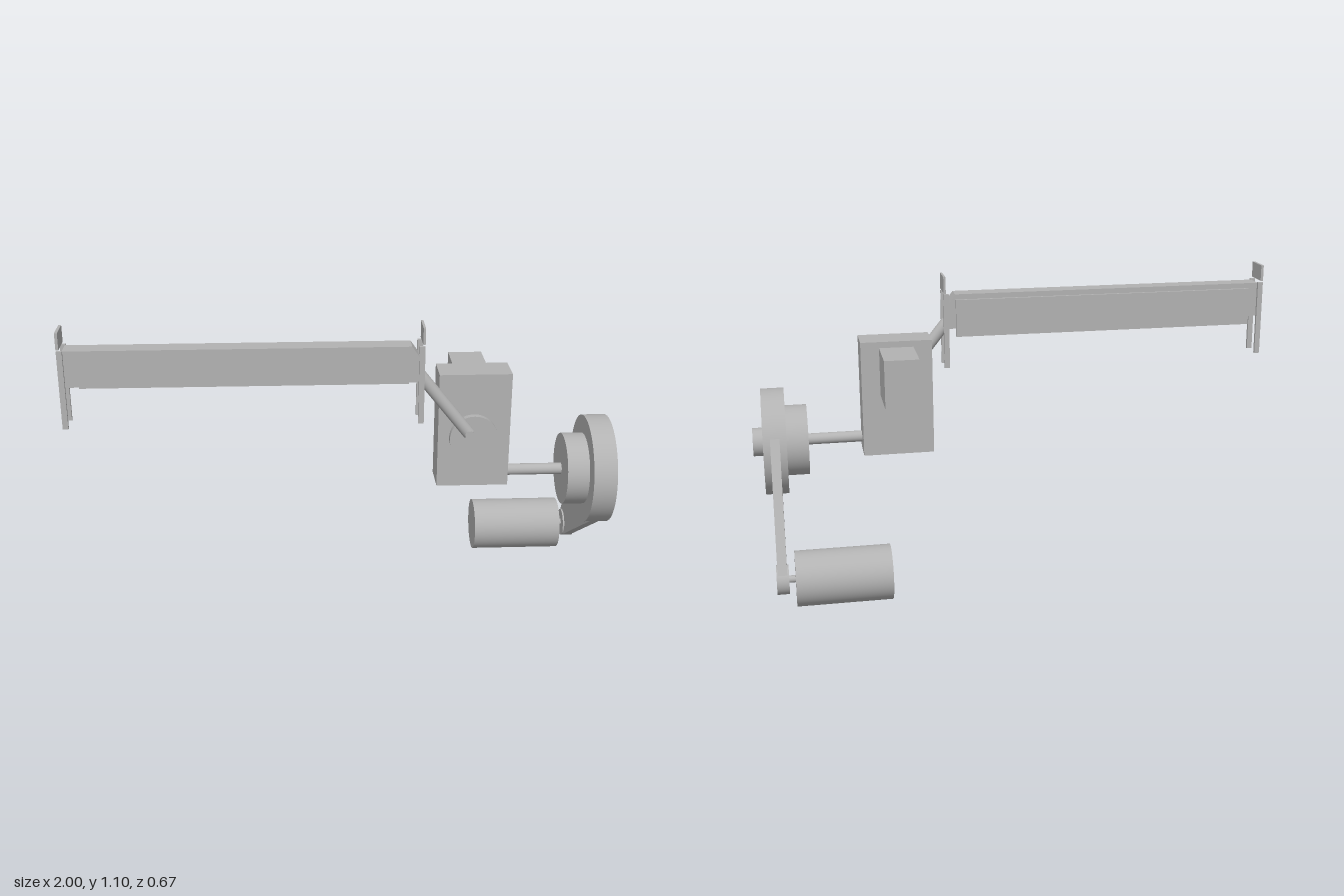
import * as THREE from 'three';

const steel = new THREE.MeshStandardMaterial({ color: 0xb2b2b2 });
steel.name = 'steel grey';

export function createModel() {
  const model = new THREE.Group();
  model.name = 'crankDrive';

  const add = (name, geometry) => {
    const mesh = new THREE.Mesh(geometry, steel);
    mesh.name = name;
    model.add(mesh);
    return mesh;
  };
  // box given by its lower and upper limits on each axis
  const box = (name, x0, x1, y0, y1, z0, z1) =>
    add(name, new THREE.BoxGeometry(x1 - x0, y1 - y0, z1 - z0))
      .position.set((x0 + x1) / 2, (y0 + y1) / 2, (z0 + z1) / 2);
  // round bar between two points
  const rod = (name, a, b, r) => {
    const p = new THREE.Vector3(...a), q = new THREE.Vector3(...b);
    const mesh = add(name, new THREE.CylinderGeometry(r, r, p.distanceTo(q), 64));
    mesh.position.copy(p).add(q).multiplyScalar(0.5);
    mesh.quaternion.setFromUnitVectors(new THREE.Vector3(0, 1, 0), q.sub(p).normalize());
  };
  // round part lying along x
  const disc = (name, x0, x1, y, z, r) => rod(name, [x0, y, z], [x1, y, z], r);

  // long beam with one bevelled upper corner
  const profile = new THREE.Shape([
    [-0.982, 0.895], [0.248, 0.895], [0.248, 0.99], [0.222, 1.027], [-0.982, 1.027],
  ].map(([x, y]) => new THREE.Vector2(x, y)));
  add('beam', new THREE.ExtrudeGeometry(profile, { depth: 0.07, bevelEnabled: false }))
    .position.z = 0.181;
  box('backPlate', -0.945, 0.22, 0.865, 1.007, 0.17, 0.181);

  // guide posts and cap plates at both beam ends
  for (const [x0, x1, c0, c1] of [[-1, -0.98, -1, -0.99], [0.247, 0.267, 0.259, 0.267]]) {
    box('frontPost', x0, x1, 0.745, 1.03, 0.253, 0.264);
    box('backPost', x0, x1, 0.745, 1.03, 0.17, 0.181);
    box('capPlate', c0, c1, 1.036, 1.097, 0.17, 0.264);
  }

  // crank arm, pin and crank disc
  rod('crankArm', [0.25, 0.918, 0.216], [0.436, 0.685, 0.216], 0.022);
  rod('crankPin', [0.436, 0.687, 0.18], [0.436, 0.687, 0.239], 0.015);
  rod('crankDisc', [0.46, 0.65, 0.16], [0.46, 0.65, 0.189], 0.088);

  // gearbox and block behind it
  box('gearbox', 0.331, 0.594, 0.457, 0.89, 0.038, 0.166);
  box('rearBlock', 0.4, 0.526, 0.69, 0.867, -0.157, 0.04);

  // flywheel shaft
  const Y = 0.505, Z = 0.135;
  disc('driveShaft', 0.59, 0.8, Y, Z, 0.021);
  disc('clutch', 0.797, 0.88, Y, Z, 0.132);
  disc('flywheel', 0.877, 0.962, Y, Z, 0.199);
  disc('hub', 0.96, 1, Y, Z, 0.053);

  // motor and its small pulley
  const my = 0.1, mz = -0.233;
  disc('motor', 0.53, 0.873, my, mz, 0.1);
  disc('motorShaft', 0.87, 0.9, my, mz, 0.013);
  disc('smallPulley', 0.896, 0.94, my, mz, 0.053);

  // solid belt: outer tangents around both wheels
  const R = 0.197, r = 0.052;
  const dx = Z - mz, dy = Y - my;
  const dir = Math.atan2(dy, -dx);
  const spread = Math.acos((R - r) / Math.hypot(dx, dy));
  // outline drawn in (-z, y), then turned to face along x
  const outline = new THREE.Shape();
  outline.absarc(-Z, Y, R, dir + Math.PI - Math.PI + spread, dir - spread + Math.PI * 2, false);
  const down = Math.atan2(my - Y, -mz + Z);
  const belt = new THREE.Shape();
  belt.absarc(-Z, Y, R, down + spread, down - spread + Math.PI * 2, false);
  belt.absarc(-mz, my, r, down - spread, down + spread, false);
  const beltMesh = add('belt', new THREE.ExtrudeGeometry(belt, {
    depth: 0.034, bevelEnabled: false, curveSegments: 40,
  }));
  beltMesh.rotation.y = Math.PI / 2;
  beltMesh.position.x = 0.902;

  return model;
}
